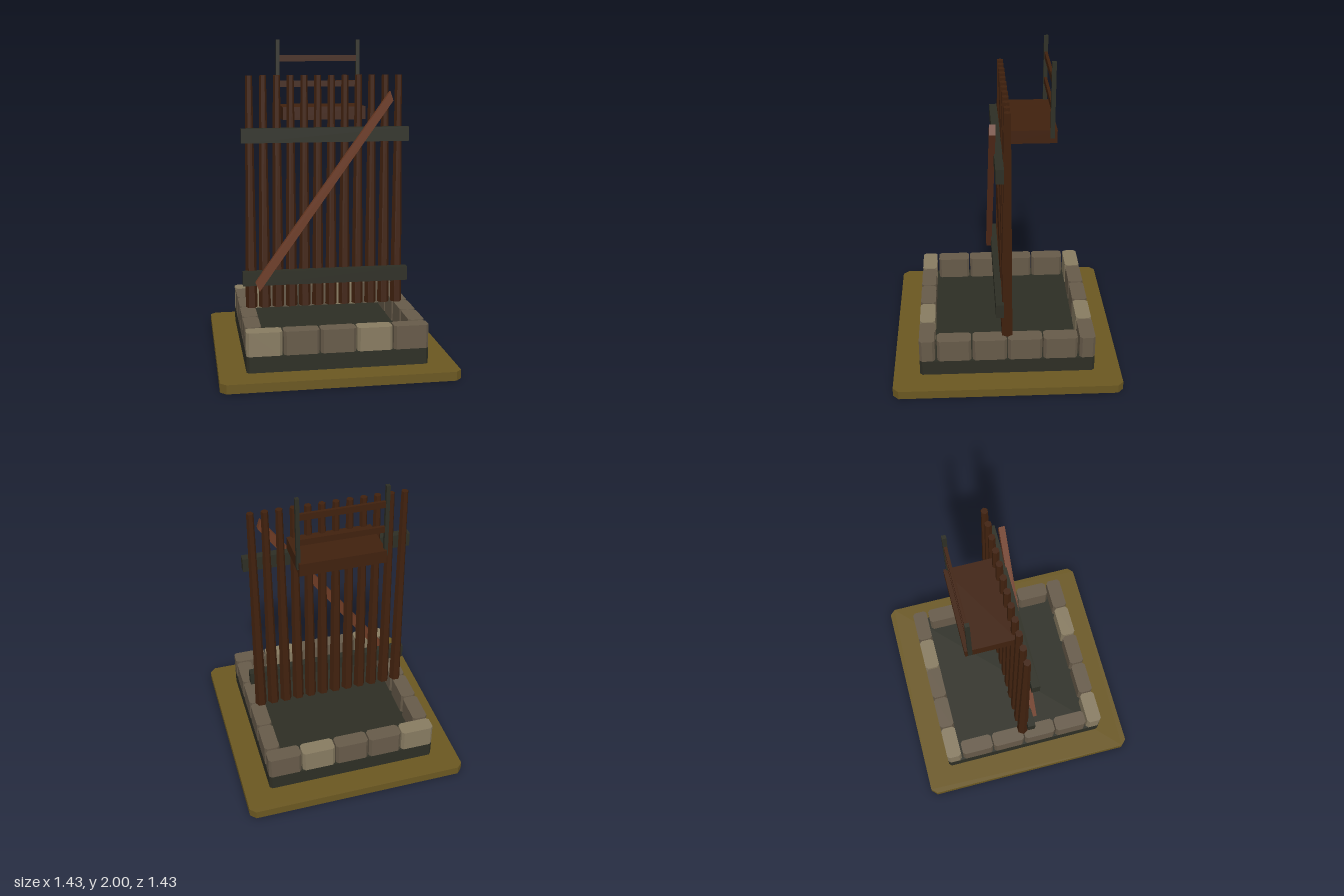
import * as THREE from 'three';

const mat = (name, color) => {
  const m = new THREE.MeshStandardMaterial({ color });
  m.name = name;
  return m;
};

export function createModel() {
  const root = new THREE.Group();
  root.name = 'gateWithLookout';

  const earth = mat('earth', 0x6a5721);
  const dark = mat('darkStoneAndIron', 0x2d2e24);
  const stone = mat('stone', 0x665a49);
  const paleStone = mat('paleStone', 0x877b61);
  const wood = mat('darkWood', 0x40210e);
  const redWood = mat('redWood', 0x6c3a23);

  const add = (name, geometry, material, x, y, z, parent = root) => {
    const mesh = new THREE.Mesh(geometry, material);
    mesh.name = name;
    mesh.position.set(x, y, z);
    parent.add(mesh);
    return mesh;
  };
  const box = (name, w, h, d, material, x, y, z, parent) =>
    add(name, new THREE.BoxGeometry(w, h, d), material, x, y, z, parent);

  // Block with cut vertical corners, standing on its own y = 0
  const cutBlock = (w, h, d, c) => {
    const a = w / 2, b = d / 2;
    const shape = new THREE.Shape([
      [a - c, -b], [a, -b + c], [a, b - c], [a - c, b],
      [-a + c, b], [-a, b - c], [-a, -b + c], [-a + c, -b],
    ].map(([x, y]) => new THREE.Vector2(x, y)));
    return new THREE.ExtrudeGeometry(shape, { depth: h, bevelEnabled: false }).rotateX(-Math.PI / 2);
  };

  // Ground slab and plinth
  add('groundSlab', cutBlock(1.434, 0.055, 1.434, 0.036), earth, 0, 0, 0);
  add('plinth', cutBlock(1.104, 0.1, 1.104, 0.016), dark, 0, 0.055, 0);

  // Ring of kerb stones
  const ring = new THREE.Group();
  ring.name = 'stoneRing';
  root.add(ring);
  const pitch = 0.2225;
  const rowStone = cutBlock(0.214, 0.145, 0.098, 0.016);
  const sideStone = cutBlock(0.098, 0.145, 0.214, 0.016);
  for (const s of [-1, 1]) {
    for (let i = 0; i < 5; i++) {
      add('rowStone', rowStone, i % 3 === 0 ? paleStone : stone, (i - 2) * pitch, 0.155, s * 0.503, ring);
    }
    for (let i = 0; i < 4; i++) {
      add('sideStone', sideStone, stone, s * 0.503, 0.155, (i - 1.5) * pitch, ring);
    }
  }

  // Tapered six-sided pickets
  const pickets = new THREE.Group();
  pickets.name = 'pickets';
  root.add(pickets);
  const picket = new THREE.CylinderGeometry(0.022, 0.038, 1.48, 6)
    .rotateY(Math.PI / 6).toNonIndexed();
  picket.computeVertexNormals();
  for (let i = 0; i < 12; i++) {
    add('picket', picket, wood, (i - 5.5) * 0.0865, 1.04, 0, pickets);
  }

  // Cross rails and diagonal brace
  for (const y of [0.5, 1.41]) box('crossRail', 1.066, 0.09, 0.05, dark, 0, y, 0.046);
  const braceShape = new THREE.Shape([
    [-0.456, 0.482], [-0.43, 0.425], [0.421, 1.622], [0.402, 1.68],
  ].map(([x, y]) => new THREE.Vector2(x, y)));
  add('diagonalBrace', new THREE.ExtrudeGeometry(braceShape, { depth: 0.037, bevelEnabled: false }),
    redWood, 0, 0, 0.065);

  // Lookout platform with back railing
  const lookout = new THREE.Group();
  lookout.name = 'lookout';
  root.add(lookout);
  box('platform', 0.528, 0.082, 0.306, wood, 0, 1.541, -0.154, lookout);
  for (const s of [-1, 1]) box('railingPost', 0.023, 0.465, 0.026, dark, s * 0.264, 1.7675, -0.277, lookout);
  for (const y of [1.715, 1.88]) box('railingBar', 0.52, 0.04, 0.018, wood, 0, y, -0.277, lookout);

  return root;
}
